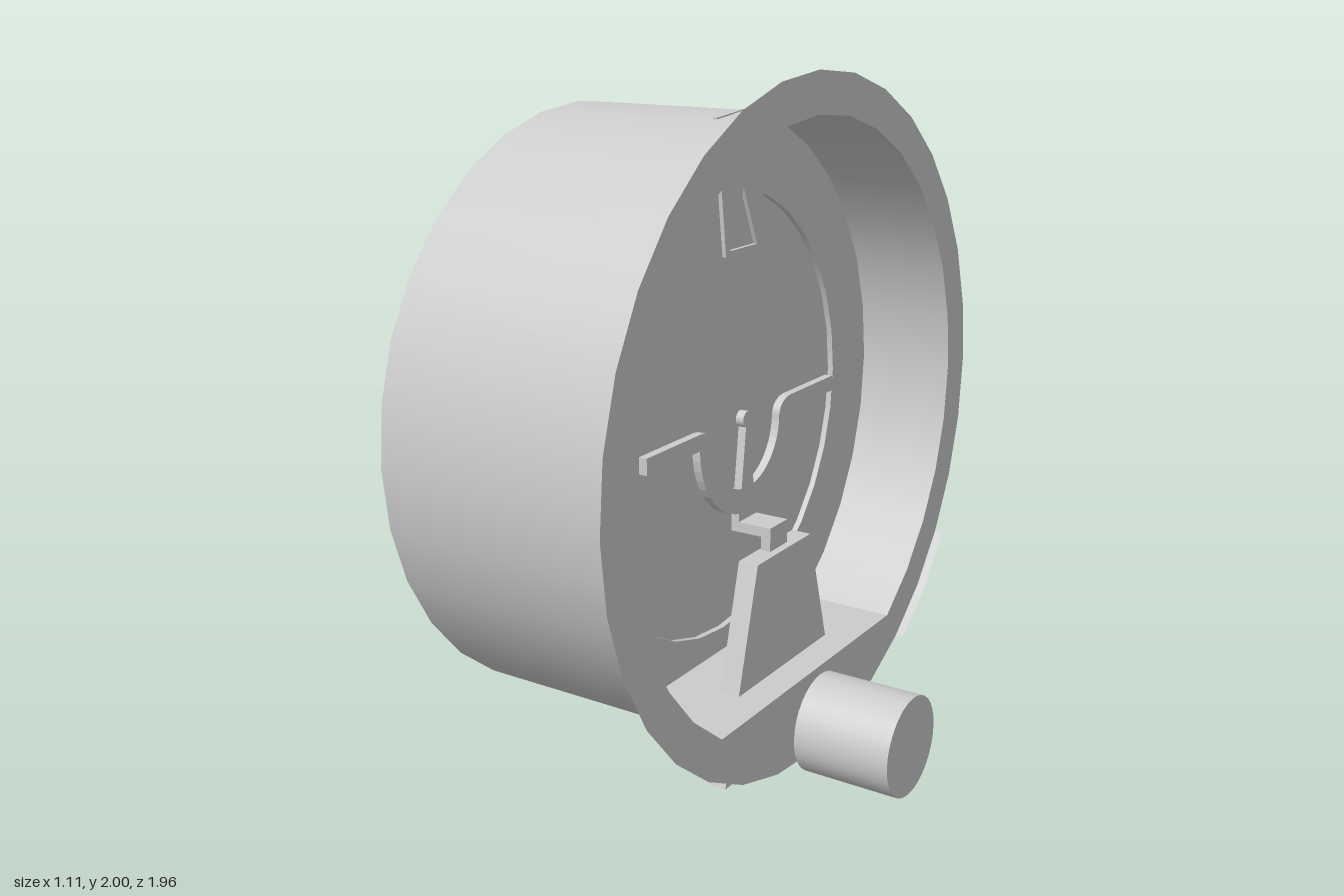
import * as THREE from 'three';

const grey = new THREE.MeshStandardMaterial({ color: 0xcccccc, side: THREE.DoubleSide });
grey.name = 'plain grey';

const CY = 1.018;     // height of the instrument axis
const SHELL = 0.867;  // case radius
const RIM = 0.982;    // bezel radius
const DIAL = 0.653;   // radius of the dial opening
const FRONT = 0.232;  // x of the bezel
const BACK = -0.555;  // x of the open rear
const RING = -0.072;  // x of the dial ring
const CARD = -0.09;   // x of the dial card
const SHELF = 0.296;  // height of the inner floor

export function createModel() {
  const group = new THREE.Group();

  const add = (name, geometry, x = 0, y = 0, z = 0) => {
    const mesh = new THREE.Mesh(geometry, grey);
    mesh.name = name;
    mesh.position.set(x, y, z);
    group.add(mesh);
  };
  const polygon = (pts) => new THREE.Shape(pts.map(([u, v]) => new THREE.Vector2(u, v)));
  // points along a circle about the instrument axis, from angle a to b
  const arc = (r, a = 0, b = Math.PI * 2, n = 32) =>
    Array.from({ length: n + 1 }, (_, i) => {
      const t = a + ((b - a) * i) / n;
      return [r * Math.cos(t), CY + r * Math.sin(t)];
    });
  const circle = (r) => polygon(arc(r).slice(0, -1));
  // outline facing +x
  const flat = (shape) => new THREE.ShapeGeometry(shape).rotateY(Math.PI / 2);
  // outline given thickness along +x
  const slab = (shape, depth) =>
    new THREE.ExtrudeGeometry(shape, { depth, bevelEnabled: false }).rotateY(Math.PI / 2);
  // open tube along x, centred on its origin
  const tube = (r, length, segments = 32, start = 0, sweep = Math.PI * 2) =>
    new THREE.CylinderGeometry(r, r, length, segments, 1, true, start, sweep).rotateZ(Math.PI / 2);

  // Case: thin tube, open at both ends
  add('case', tube(SHELL, FRONT - BACK), (FRONT + BACK) / 2, CY);

  // Bezel: flat ring whose opening is cut straight at the shelf
  const half = Math.sqrt(SHELL ** 2 - (CY - SHELF) ** 2);
  const low = Math.PI / 4;
  const bezel = circle(RIM);
  bezel.holes.push(polygon([[half, SHELF], ...arc(SHELL, -low, Math.PI + low, 24), [-half, SHELF]]));
  add('bezel', flat(bezel), FRONT);

  // Short lip along two facets of the bezel edge
  add('bezelLip', tube(RIM, 0.026, 2, Math.PI * 19 / 16, Math.PI / 8), FRONT + 0.013, CY);

  // Dial: ring with a shallow recess down to a round card
  const ring = circle(SHELL);
  ring.holes.push(circle(DIAL));
  add('dialRing', flat(ring), RING);
  add('dialRecess', tube(DIAL, RING - CARD), (RING + CARD) / 2, CY);
  add('dialCard', new THREE.CircleGeometry(0.82, 32).rotateY(Math.PI / 2), CARD, CY);

  // Shelf at the bottom of the opening
  add('shelf', new THREE.PlaneGeometry(FRONT - RING, half * 2).rotateX(-Math.PI / 2),
    (FRONT + RING) / 2, SHELF);

  // Top pointer with triangular window, its top edge just through the case
  const pointer = polygon([[-0.09, 1.5], [0.09, 1.5], [0.133, 1.876], [0, 1.888], [-0.133, 1.876]]);
  pointer.holes.push(polygon([[-0.07, 1.515], [0, 1.68], [0.07, 1.515]]));
  add('topPointer', slab(pointer, 0.012), -0.012);

  // Wing symbol: two bars joined by a half ring
  const bar = new THREE.Shape();
  bar.moveTo(-0.492, 0.995);
  bar.lineTo(-0.245, 0.995);
  bar.absarc(0, 0.995, 0.245, Math.PI, Math.PI * 2, false);
  bar.lineTo(0.492, 0.995);
  bar.lineTo(0.492, 1.042);
  bar.lineTo(0.24, 1.042);
  bar.quadraticCurveTo(0.175, 1.037, 0.175, 0.985);
  bar.absarc(0, 0.997, 0.175, 0, -Math.PI, true);
  bar.quadraticCurveTo(-0.175, 1.037, -0.24, 1.042);
  bar.lineTo(-0.492, 1.042);
  add('wingSymbol', slab(bar, 0.025), -0.012);

  // Centre needle and dot
  add('needle', slab(polygon([[-0.033, 0.82], [0.033, 0.82], [0.008, 1.01], [-0.008, 1.01]]), 0.025), -0.012);
  add('needleDot', new THREE.CylinderGeometry(0.024, 0.024, 0.025, 16).rotateZ(Math.PI / 2), 0.0005, 1.025);

  // Bracket from the symbol to the pedestal
  add('bracketStem', new THREE.BoxGeometry(0.025, 0.07, 0.095), 0.0005, 0.735);
  add('bracketArm', new THREE.BoxGeometry(0.13, 0.03, 0.095), 0.053, 0.715);
  add('bracketLeg', new THREE.BoxGeometry(0.03, 0.07, 0.095), 0.103, 0.695);

  // Pedestal: tapered slab that passes through the case as a foot
  add('pedestal', slab(polygon([[-0.318, 0.04], [0.318, 0.04], [0.147, 0.657], [-0.147, 0.657]]), 0.062), 0.076);

  // Knob
  add('knob', new THREE.CylinderGeometry(0.148, 0.148, 0.295, 32).rotateZ(Math.PI / 2), 0.4075, 0.148);

  return group;
}
